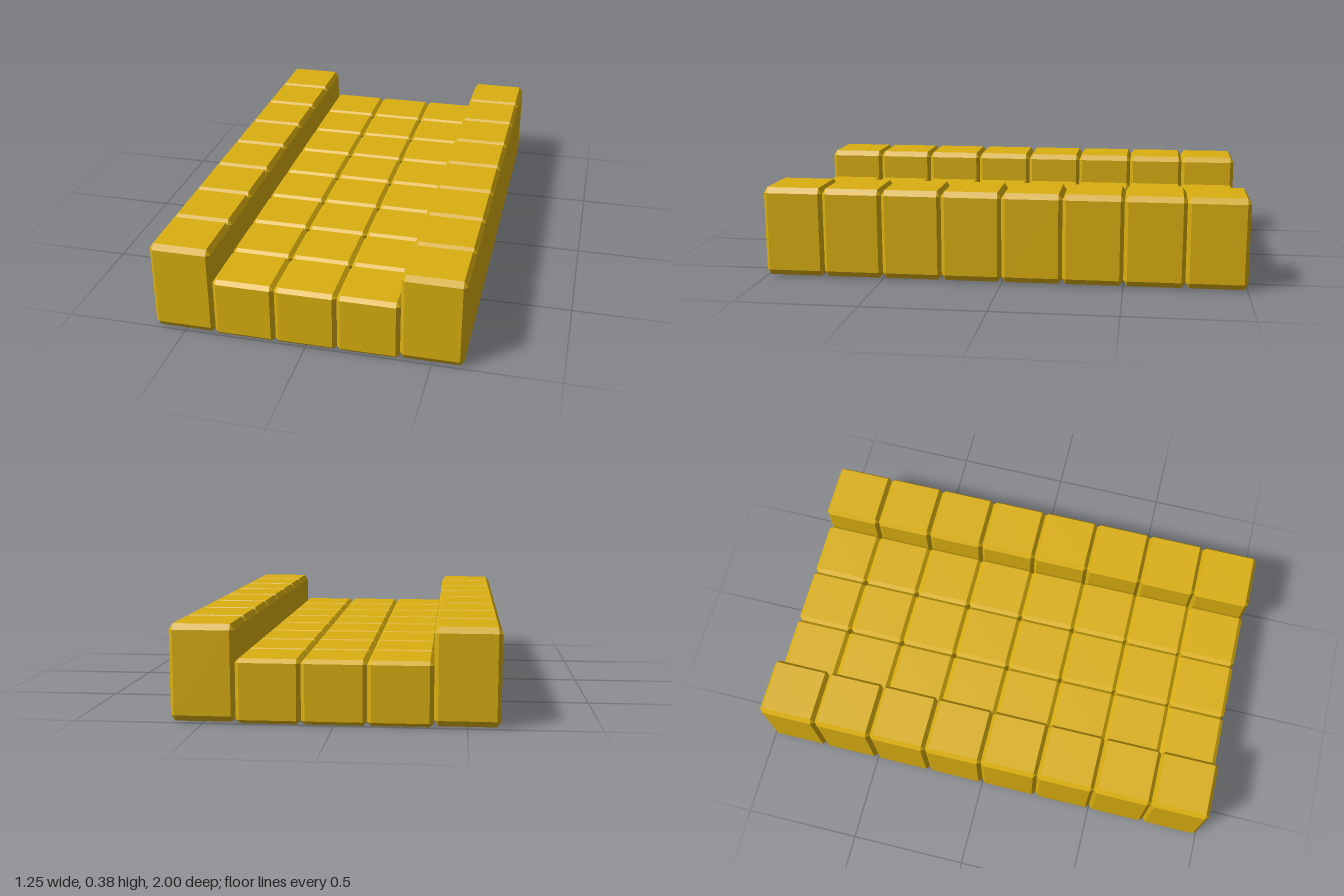
import * as THREE from 'three';
import { ConvexGeometry } from 'three/addons/geometries/ConvexGeometry.js';

const CELL = 0.25, BEVEL = 0.0155, COLUMNS = 5, ROWS = 8;

// Cube with every edge and corner cut flat
function bevelledCube(size, bevel) {
  const h = size / 2, i = h - bevel, points = [];
  for (const x of [-1, 1]) for (const y of [-1, 1]) for (const z of [-1, 1]) {
    points.push(
      new THREE.Vector3(x * h, y * i, z * i),
      new THREE.Vector3(x * i, y * h, z * i),
      new THREE.Vector3(x * i, y * i, z * h));
  }
  return new ConvexGeometry(points);
}

export function createModel() {
  const model = new THREE.Group();
  model.name = 'blockChannel';
  const gold = new THREE.MeshStandardMaterial({ color: 0xdaaf10 });
  gold.name = 'gold';

  // Low floor blocks, and side rail blocks stretched to one and a half height
  const floorBlock = bevelledCube(CELL, BEVEL);
  const railBlock = floorBlock.clone().scale(1, 1.5, 1);

  for (let c = 0; c < COLUMNS; c++) {
    const isRail = c === 0 || c === COLUMNS - 1;
    const column = new THREE.Group();
    column.name = c === 0 ? 'rightRail' : isRail ? 'leftRail' : 'floorColumn' + c;
    for (let r = 0; r < ROWS; r++) {
      const block = new THREE.Mesh(isRail ? railBlock : floorBlock, gold);
      block.name = isRail ? 'railBlock' : 'floorBlock';
      block.position.set(
        (c - (COLUMNS - 1) / 2) * CELL,
        isRail ? 0.1925 : CELL / 2,
        (r - (ROWS - 1) / 2) * CELL);
      column.add(block);
    }
    model.add(column);
  }
  return model;
}
